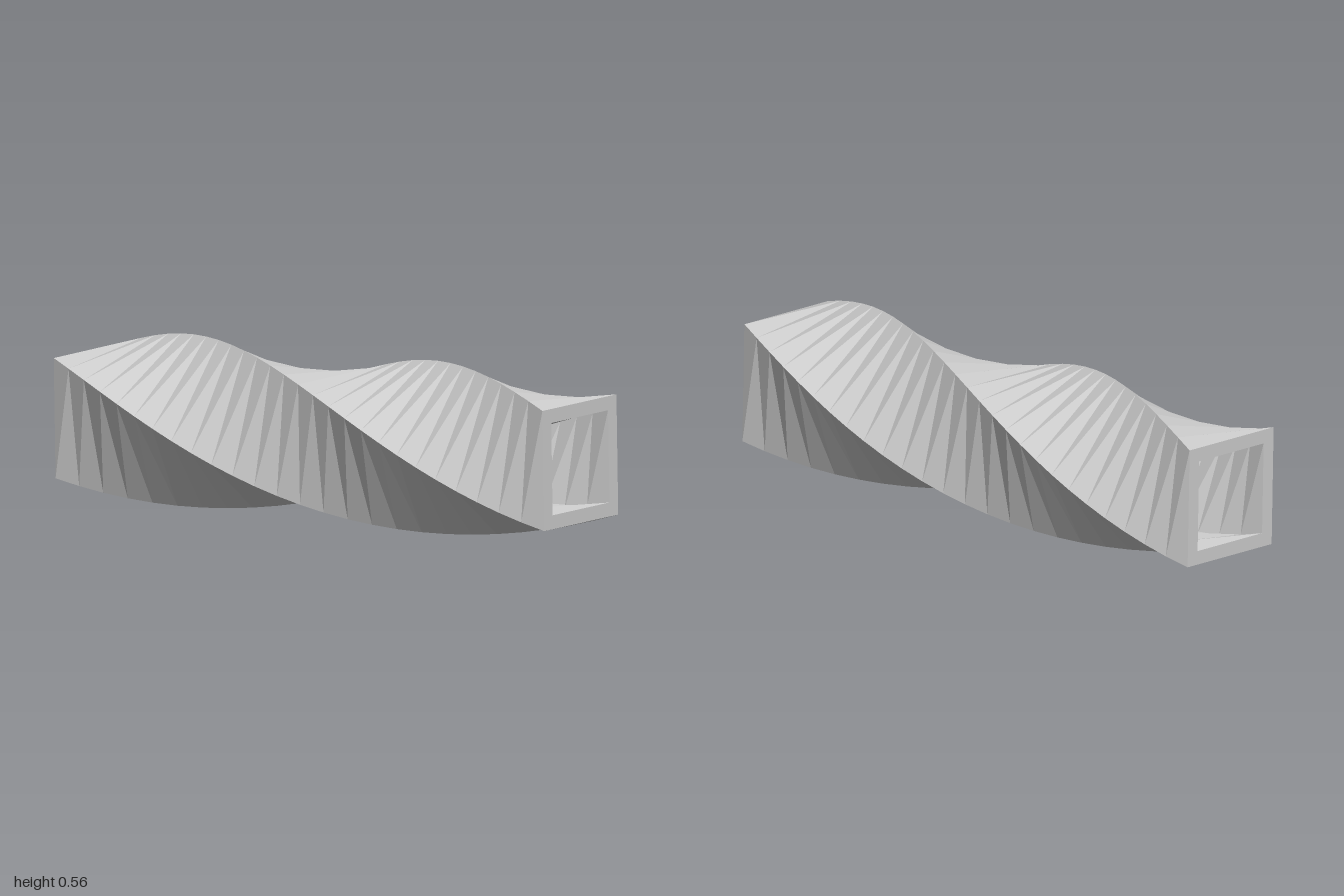
import * as THREE from 'three';

// Square outline, usable as a shape or a hole
function square(PathType, h) {
  const p = new PathType();
  p.moveTo(-h, -h);
  p.lineTo(h, -h);
  p.lineTo(h, h);
  p.lineTo(-h, h);
  p.closePath();
  return p;
}

export function createModel() {
  const group = new THREE.Group();
  group.name = 'twistedTube';

  const outerHalf = 0.198, innerHalf = 0.152, length = 2, steps = 26;
  const endAngle = THREE.MathUtils.degToRad(1.4);

  // Hollow square bar lying along x
  const profile = square(THREE.Shape, outerHalf);
  profile.holes.push(square(THREE.Path, innerHalf));
  const geometry = new THREE.ExtrudeGeometry(profile, { depth: length, steps, bevelEnabled: false });
  geometry.translate(0, 0, -length / 2);
  geometry.rotateY(Math.PI / 2);

  // Half a turn about x over the whole length
  const pos = geometry.attributes.position;
  const v = new THREE.Vector3();
  const axis = new THREE.Vector3(1, 0, 0);
  for (let i = 0; i < pos.count; i++) {
    v.fromBufferAttribute(pos, i);
    v.applyAxisAngle(axis, endAngle + v.x * Math.PI / 2);
    pos.setXYZ(i, v.x, v.y + outerHalf * Math.SQRT2, v.z);
  }
  geometry.computeVertexNormals();

  const tube = new THREE.Mesh(
    geometry,
    new THREE.MeshStandardMaterial({ color: 0xcccccc, flatShading: true })
  );
  // The half turn runs from -90 to +90 degrees, which leaves both ends square to the ground
  tube.name = 'squareTube';
  group.add(tube);
  return group;
}
